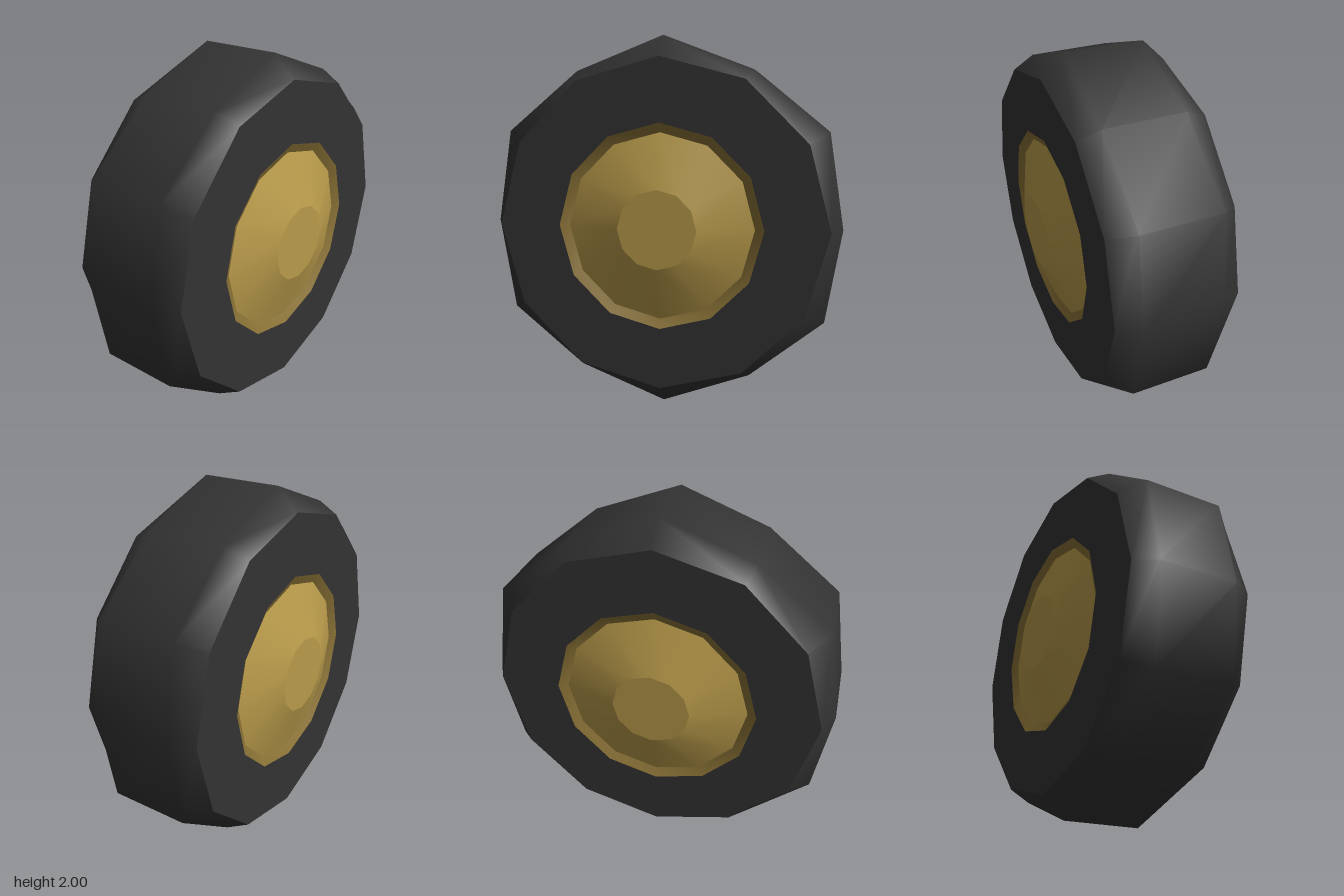
import * as THREE from 'three';

const SIDES = 12;

// Twelve-sided loft around the x axis; profile holds [x, radius at even corners, radius at odd corners].
function loft(profile) {
  const pos = [], index = [];
  for (const [x, even, odd = even] of profile) {
    for (let j = 0; j < SIDES; j++) {
      const a = (j / SIDES) * Math.PI * 2;
      const r = j % 2 ? odd : even;
      pos.push(x, 1 + r * Math.cos(a), r * Math.sin(a));
    }
  }
  for (let i = 0; i < profile.length - 1; i++) {
    for (let j = 0; j < SIDES; j++) {
      const k = (j + 1) % SIDES;
      const a = i * SIDES + j, b = i * SIDES + k;
      const c = a + SIDES, d = b + SIDES;
      index.push(a, b, c, b, d, c);
    }
  }
  const geo = new THREE.BufferGeometry();
  geo.setAttribute('position', new THREE.Float32BufferAttribute(pos, 3));
  geo.setIndex(index);
  geo.computeVertexNormals();
  return geo;
}

export function createModel() {
  const group = new THREE.Group();
  group.name = 'wheel';

  const rubber = new THREE.MeshStandardMaterial({ color: 0x333333 });
  rubber.name = 'black rubber';
  const gold = new THREE.MeshStandardMaterial({ color: 0xb89a4a });
  gold.name = 'gold hub';
  const darkGold = new THREE.MeshStandardMaterial({ color: 0x8a7236 });
  darkGold.name = 'dark gold rim';

  const add = (name, profile, material) => {
    const mesh = new THREE.Mesh(loft(profile), material);
    mesh.name = name;
    group.add(mesh);
  };

  // Tread with bevelled shoulders; its corners alternate between two radii
  add('tread', [
    [-0.333, 0.885],
    [-0.215, 1, 0.947],
    [0.215, 1, 0.947],
    [0.333, 0.885],
  ], rubber);

  // Both faces of the wheel, from the sidewall in to the hub cap
  for (const [side, s] of [['left', 1], ['right', -1]]) {
    const addFace = (name, profile, material) => {
      const mirrored = profile.map(([x, r]) => [x * s, r]);
      if (s < 0) mirrored.reverse();
      add(side + name, mirrored, material);
    };
    addFace('Sidewall', [[0.333, 0.885], [0.333, 0.55]], rubber);
    addFace('Rim', [[0.333, 0.55], [0.308, 0.5]], darkGold);
    addFace('HubCone', [[0.308, 0.5], [0.405, 0.21]], gold);
    addFace('HubCap', [[0.405, 0.21], [0.405, 0]], gold);
  }

  return group;
}
